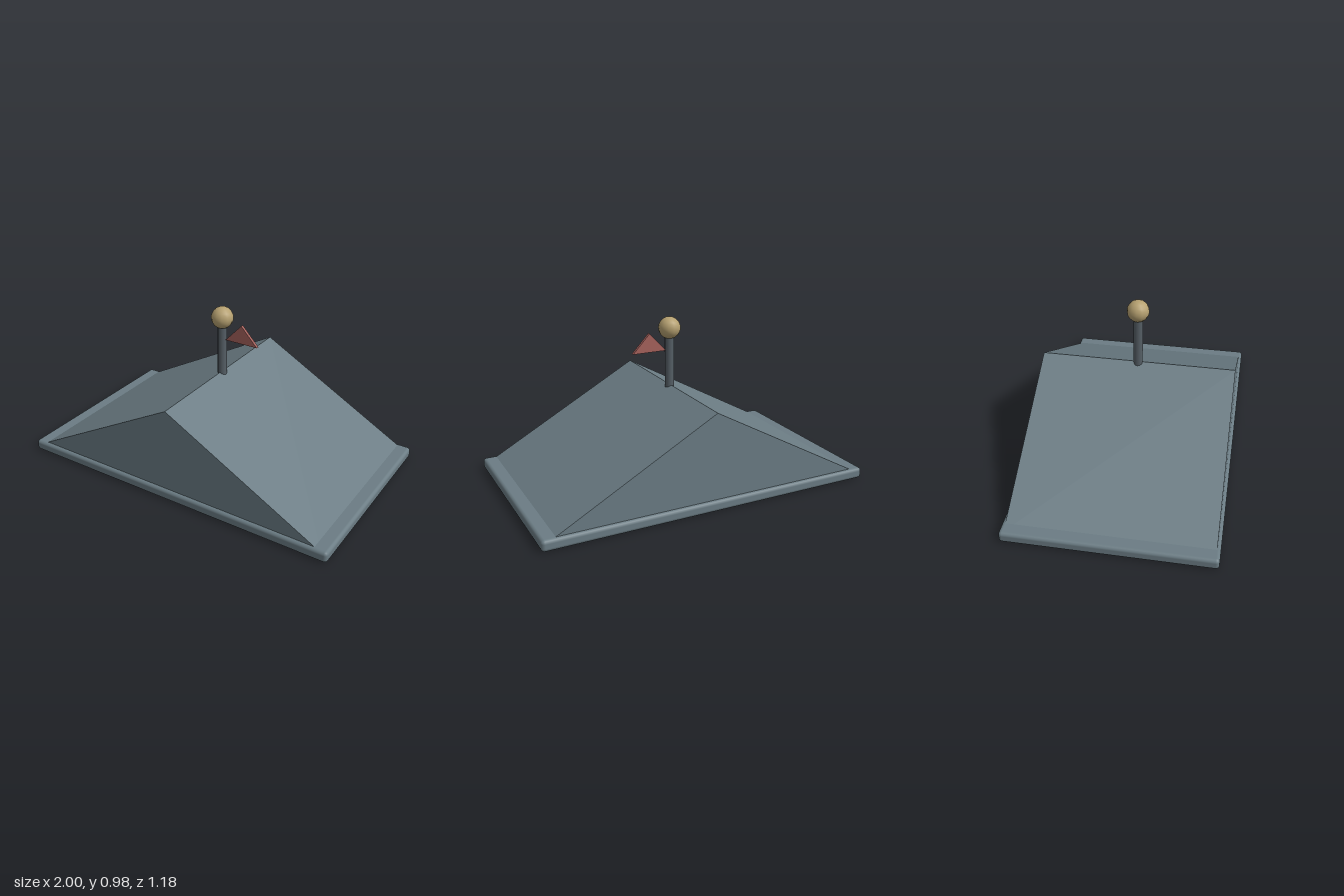
import * as THREE from 'three';
import { RoundedBoxGeometry } from 'three/addons/geometries/RoundedBoxGeometry.js';

const mat = (color) => new THREE.MeshStandardMaterial({ color });

// Triangular prism centred on z = 0
function prism(points, depth) {
  const shape = new THREE.Shape(points.map(([x, y]) => new THREE.Vector2(x, y)));
  return new THREE.ExtrudeGeometry(shape, { depth, bevelEnabled: false }).translate(0, 0, -depth / 2);
}

export function createModel() {
  const model = new THREE.Group();
  model.name = 'gableRoof';
  const add = (name, geometry, material, x = 0, y = 0, z = 0) => {
    const mesh = new THREE.Mesh(geometry, material);
    mesh.name = name;
    mesh.position.set(x, y, z);
    model.add(mesh);
  };
  const slate = mat(0x6b7c84);

  // Eaves slab with softened edges
  add('eavesSlab', new RoundedBoxGeometry(2, 0.065, 1.18, 2, 0.02), slate, 0, 0.0325);

  // Gabled roof body, sunk slightly into the slab
  add('roof', prism([[-0.96, 0.043], [0.96, 0.043], [0, 0.57]], 1.14), slate);

  // Pole on the ridge with a ball finial
  add('pole', new THREE.CylinderGeometry(0.027, 0.027, 0.38, 12), mat(0x565f66), 0, 0.7);
  add('finial', new THREE.SphereGeometry(0.065, 12, 10), mat(0xb5a070), 0, 0.911);

  // Small pennant beside the pole
  add('pennant', prism([[0.027, 0.78], [0.235, 0.78], [0.131, 0.89]], 0.018), mat(0xa5615c));

  return model;
}
